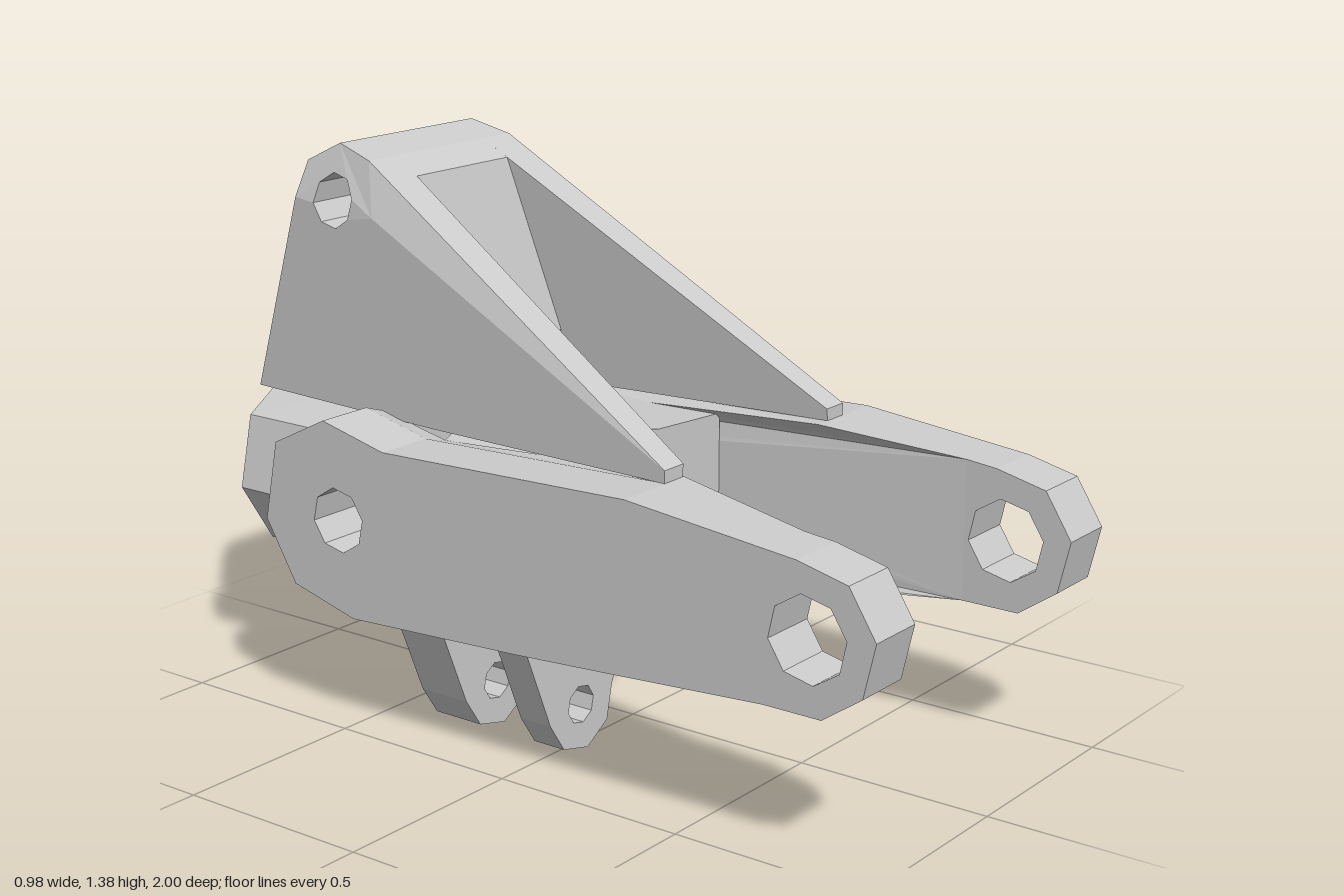
import * as THREE from 'three';

const material = new THREE.MeshStandardMaterial({ color: 0xcccccc, flatShading: true });

// Regular eight-sided outline
function octagon(cx, cy, r) {
  return Array.from({ length: 8 }, (_, i) => {
    const a = THREE.MathUtils.degToRad(10 + i * 45);
    return [cx + r * Math.cos(a), cy + r * Math.sin(a)];
  });
}

// Outline with holes; every hole runs counter-clockwise so its walls face into the bore
function makeShape(points, holes) {
  const toVectors = (list) => list.map(([x, y]) => new THREE.Vector2(x, y));
  const shape = new THREE.Shape(toVectors(points));
  for (const hole of holes) {
    const v = toVectors(hole);
    if (THREE.ShapeUtils.isClockWise(v)) v.reverse();
    shape.holes.push(new THREE.Path(v));
  }
  return shape;
}

function addMesh(group, name, geometry) {
  geometry.computeVertexNormals();
  const mesh = new THREE.Mesh(geometry, material);
  mesh.name = name;
  group.add(mesh);
}

// Plate in the xy plane between two depths
function zPlate(group, name, points, holes, z0, z1) {
  const g = new THREE.ExtrudeGeometry(makeShape(points, holes), { depth: z1 - z0, bevelEnabled: false });
  g.translate(0, 0, z0);
  addMesh(group, name, g);
}

// Side profile given as [z, y]; place(z, y, w) returns the final point,
// with w = 0 at the low-x face and w = 1 at the high-x face
function xPlate(group, name, points, holes, place) {
  const flip = (list) => list.map(([z, y]) => [-z, y]);
  const g = new THREE.ExtrudeGeometry(makeShape(flip(points), holes.map(flip)), { depth: 1, bevelEnabled: false });
  const p = g.attributes.position;
  for (let i = 0; i < p.count; i++) {
    p.setXYZ(i, ...place(-p.getX(i), p.getY(i), p.getZ(i)));
  }
  addMesh(group, name, g);
}

// Mirrored pair: rule(z, y, t) gives [distance from centre, y, z], t = 0 inside, 1 outside
function xPair(group, name, points, holes, rule, centre = 0) {
  for (const side of [1, -1]) {
    xPlate(group, (side > 0 ? 'left' : 'right') + name, points, holes, (z, y, w) => {
      const [d, yy, zz] = rule(z, y, side > 0 ? w : 1 - w);
      return [centre + side * d, yy, zz];
    });
  }
}

export function createModel() {
  const group = new THREE.Group();
  group.name = 'linkBracket';
  const { lerp, clamp } = THREE.MathUtils;

  // Side arms: constant outer slab with an eye at each end
  const rearEnd = [[-0.36, 0.725], [-0.55, 0.77], [-0.71, 0.69], [-0.75, 0.49], [-0.66, 0.34], [-0.47, 0.29], [0.04, 0.315]];
  const frontEye = octagon(0.83, 0.53, 0.1);
  const rearEye = octagon(-0.51, 0.53, 0.08);
  xPair(group, 'Arm',
    [[1, 0.56], [0.93, 0.67], [0.8, 0.7], [0.35, 0.745], ...rearEnd, [0.35, 0.335], [0.72, 0.36], [0.87, 0.36], [0.97, 0.43]],
    [frontEye, rearEye],
    (z, y, t) => [lerp(0.34, 0.49, t), y, z]);

  // Inner thickening of the arms, growing toward the middle and slimming at the hub
  const hubScale = 0.9;
  xPair(group, 'ArmInnerSide',
    [[0.72, 0.708], [0.35, 0.745], ...rearEnd, [0.35, 0.335], [0.72, 0.36]],
    [rearEye],
    (z, y, t) => {
      const d = lerp(0.27 + 0.07 * clamp((z - 0.35) / 0.37, 0, 1), 0.34, t);
      const slims = z < 0 && Math.hypot(z + 0.51, y - 0.53) > 0.1;
      return [d, 0.53 + (y - 0.53) * (slims ? lerp(hubScale, 1, t) : 1), z];
    });

  // Rear cross member: half hub with a grooved front face
  xPlate(group, 'crossMember',
    [[-0.5, 0.737], [-0.55, 0.746], [-0.71, 0.674], [-0.75, 0.494], [-0.66, 0.359], [-0.5, 0.32],
      [-0.5, 0.45], [-0.56, 0.46], [-0.585, 0.51], [-0.57, 0.57], [-0.53, 0.595], [-0.5, 0.6]],
    [], (z, y, w) => [lerp(-0.28, 0.28, w), y, z]);

  // Rear socket
  zPlate(group, 'rearSocket', octagon(-0.1, 0.53, 0.245), [octagon(-0.1, 0.53, 0.13)], -0.99, -0.66);

  // Central bored body bridging the arms
  zPlate(group, 'centralBody',
    [[-0.31, 0.7], [-0.28, 0.7], [-0.14, 0.77], [0.05, 0.73], [0.3, 0.715], [0.3, 0.405], [0.1, 0.385],
      [0, 0.325], [-0.06, 0.285], [-0.24, 0.325], [-0.31, 0.36]],
    [octagon(-0.1, 0.53, 0.17)], -0.36, 0.04);

  // Two hanging lugs with a pin hole
  const lug = [[-0.46, 0.34], [-0.46, 0.32], [-0.37, 0.1], [-0.32, 0.025], [-0.23, 0.003], [-0.155, 0.05],
    [-0.135, 0.14], [-0.06, 0.28], [0.1, 0.385], [-0.05, 0.352], [-0.27, 0.345]];
  [[-0.05, 0.04], [-0.36, -0.22]].forEach(([z0, z1], i) =>
    zPlate(group, i ? 'rearLug' : 'frontLug', lug, [octagon(-0.255, 0.12, 0.048)], z0, z1));

  // Tower: tapered cheeks with sloping front rails, around a solid rear block with an undercut foot
  const centre = 0.018;
  const inner = (z, y) => 0.364 + 0.0627 * z - 0.1238 * y;
  const outer = (z, y) => 0.337 + 0.067 * z - 0.33 * Math.max(0, y - 1.24);
  const pinHole = octagon(-0.71, 1.245, 0.067);
  const cheekRule = (z, y, t) => [lerp(inner(z, y), outer(z, y), t), y, z];
  const crown = [[-0.61, 1.35], [-0.72, 1.38], [-0.82, 1.33], [-0.84, 1.24], [-1, 0.737]];
  xPair(group, 'TowerCheek', [[0.35, 0.745], [-0.57, 1.22], ...crown, [-0.38, 0.735]], [pinHole], cheekRule, centre);
  xPair(group, 'TowerRail', [[0.35, 0.745], [0.35, 0.775], [-0.61, 1.35], [-0.57, 1.22]], [], cheekRule, centre);
  xPlate(group, 'towerBlock', [[-0.42, 0.87], [-0.54, 1.308], ...crown, [-0.5, 0.735]], [pinHole],
    (z, y, w) => [centre + (2 * w - 1) * inner(z, y), y, z]);

  return group;
}
